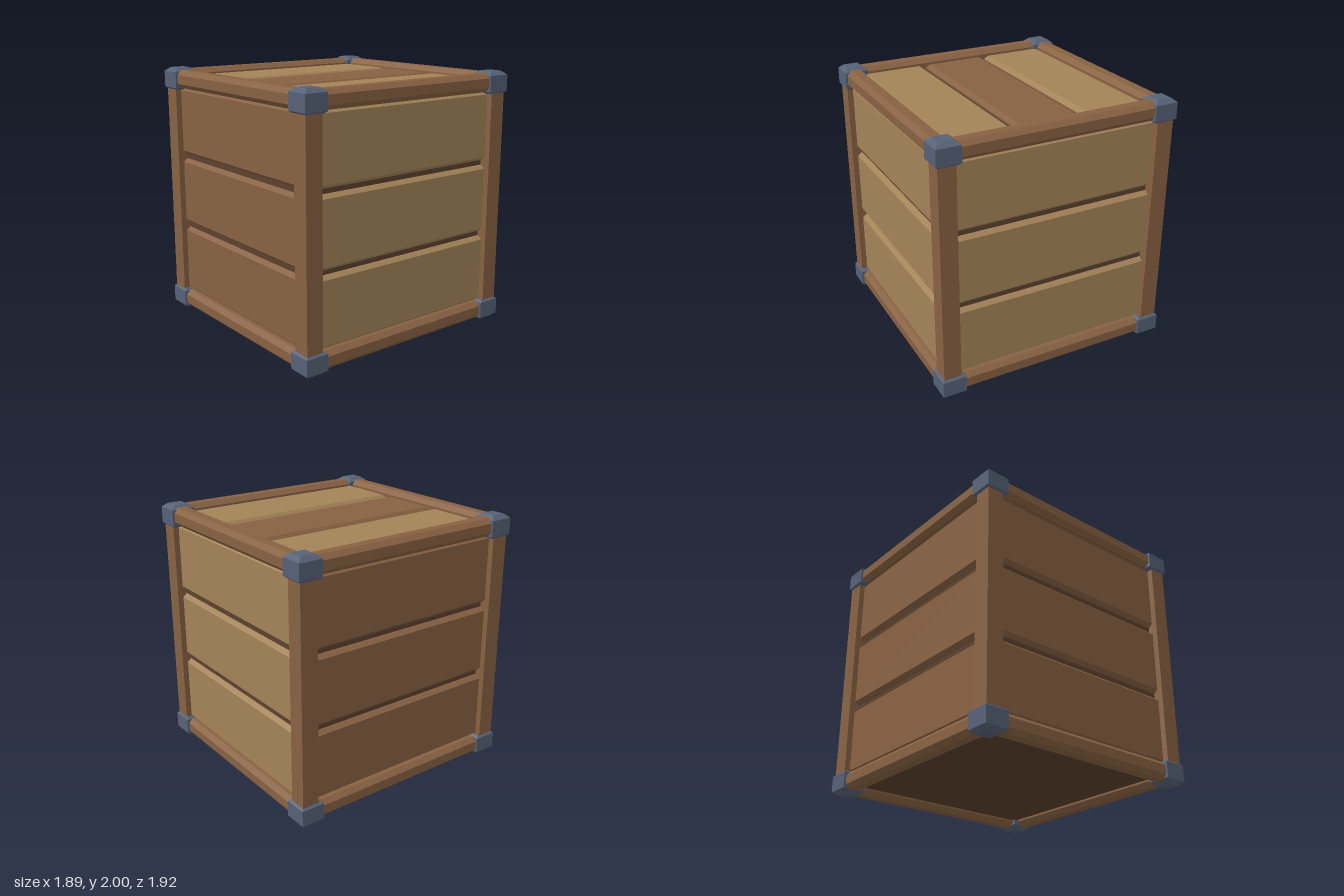
import * as THREE from 'three';

const mat = (name, color) => Object.assign(new THREE.MeshStandardMaterial({ color }), { name });

// Flat-faced solid through rectangular rings [y, halfX, halfZ], bottom to top
function ringSolid(rings) {
  const corners = rings.map(([y, a, b]) => [[-a, y, b], [a, y, b], [a, y, -b], [-a, y, -b]]);
  const pos = [];
  const quad = (a, b, c, d) => [a, b, c, a, c, d].forEach((p) => pos.push(...p));
  for (let i = 0; i < rings.length - 1; i++) {
    for (let k = 0; k < 4; k++) {
      const n = (k + 1) % 4;
      quad(corners[i][k], corners[i][n], corners[i + 1][n], corners[i + 1][k]);
    }
  }
  const [p, q, r, s] = corners[0];
  quad(s, r, q, p);
  quad(...corners[corners.length - 1]);
  const g = new THREE.BufferGeometry();
  g.setAttribute('position', new THREE.Float32BufferAttribute(pos, 3));
  g.computeVertexNormals();
  return g;
}

// Chamfered square bar along z, centred
function rail(length) {
  const h = 0.07, c = 0.035;
  const pts = [[h, -c], [h, c], [c, h], [-c, h], [-h, c], [-h, -c], [-c, -h], [c, -h]];
  const shape = new THREE.Shape(pts.map(([x, y]) => new THREE.Vector2(x, y)));
  return new THREE.ExtrudeGeometry(shape, { depth: length, bevelEnabled: false }).translate(0, 0, -length / 2);
}

export function createModel() {
  const model = new THREE.Group();
  model.name = 'crate';
  const brown = mat('brownWood', 0x886243);
  const tan = mat('tanWood', 0xa38358);
  const dark = mat('darkWood', 0x5c412d);
  const steel = mat('blueGreyMetal', 0x566176);

  const add = (name, geo, material, x, y, z, parent = model) => {
    const m = new THREE.Mesh(geo, material);
    m.name = name;
    m.position.set(x, y, z);
    parent.add(m);
    return m;
  };

  // Dark inner box seen in the grooves and underneath
  add('innerBox', new THREE.BoxGeometry(1.69, 1.83, 1.73), dark, 0, 0.985, 0);

  // Wall panels: three bevelled boards on each side
  const wall = (name, material, halfWidth, distance, turn) => {
    const g = new THREE.Group();
    g.name = name;
    for (const [lo, hi] of [[0.155, 0.695], [0.735, 1.27], [1.31, 1.85]]) {
      const h = (hi - lo) / 2;
      const geo = ringSolid([[-0.06, halfWidth, h], [-0.03, halfWidth, h], [0, halfWidth, h - 0.027]]);
      geo.rotateX(Math.PI / 2);
      add('wallBoard', geo, material, 0, (lo + hi) / 2, distance, g);
    }
    g.rotation.y = turn;
    model.add(g);
  };
  wall('frontWall', brown, 0.81, 0.9, 0);
  wall('leftWall', tan, 0.82, 0.885, Math.PI / 2);
  wall('backWall', tan, 0.81, 0.9, Math.PI);
  wall('rightWall', brown, 0.82, 0.885, -Math.PI / 2);

  // Lid boards
  for (const [lo, hi, material] of [[-0.797, -0.29, tan], [-0.25, 0.25, brown], [0.29, 0.797, tan]]) {
    const h = (hi - lo) / 2;
    const geo = ringSolid([[-0.06, h, 0.81], [-0.03, h, 0.81], [0, h - 0.028, 0.782]]);
    add('lidBoard', geo, material, (lo + hi) / 2, 1.94, 0);
  }

  // Frame: rails and posts, with capped corners
  const px = 0.86, pz = 0.875, cx = 0.8525, cz = 0.8675;
  const longRail = rail(1.66).rotateY(Math.PI / 2);
  const sideRail = rail(1.68);
  const post = new THREE.BoxGeometry(0.135, 1.76, 0.135);
  const cap = ringSolid([[0, 0.075, 0.075], [0.015, 0.0925, 0.0925], [0.14, 0.0925, 0.0925], [0.17, 0.056, 0.056]]);
  for (const s of [-1, 1]) {
    for (const y of [0.09, 1.915]) {
      add('crossRail', longRail, brown, 0, y, s * pz);
      add('sideRail', sideRail, brown, s * px, y, 0);
    }
    for (const t of [-1, 1]) {
      add('cornerPost', post, brown, s * 0.8625, 1, t * 0.8775);
      add('topCornerCap', cap, steel, s * cx, 1.83, t * cz);
      add('bottomCornerCap', cap, steel, s * cx, 0.17, t * cz).rotation.x = Math.PI;
    }
  }
  return model;
}
